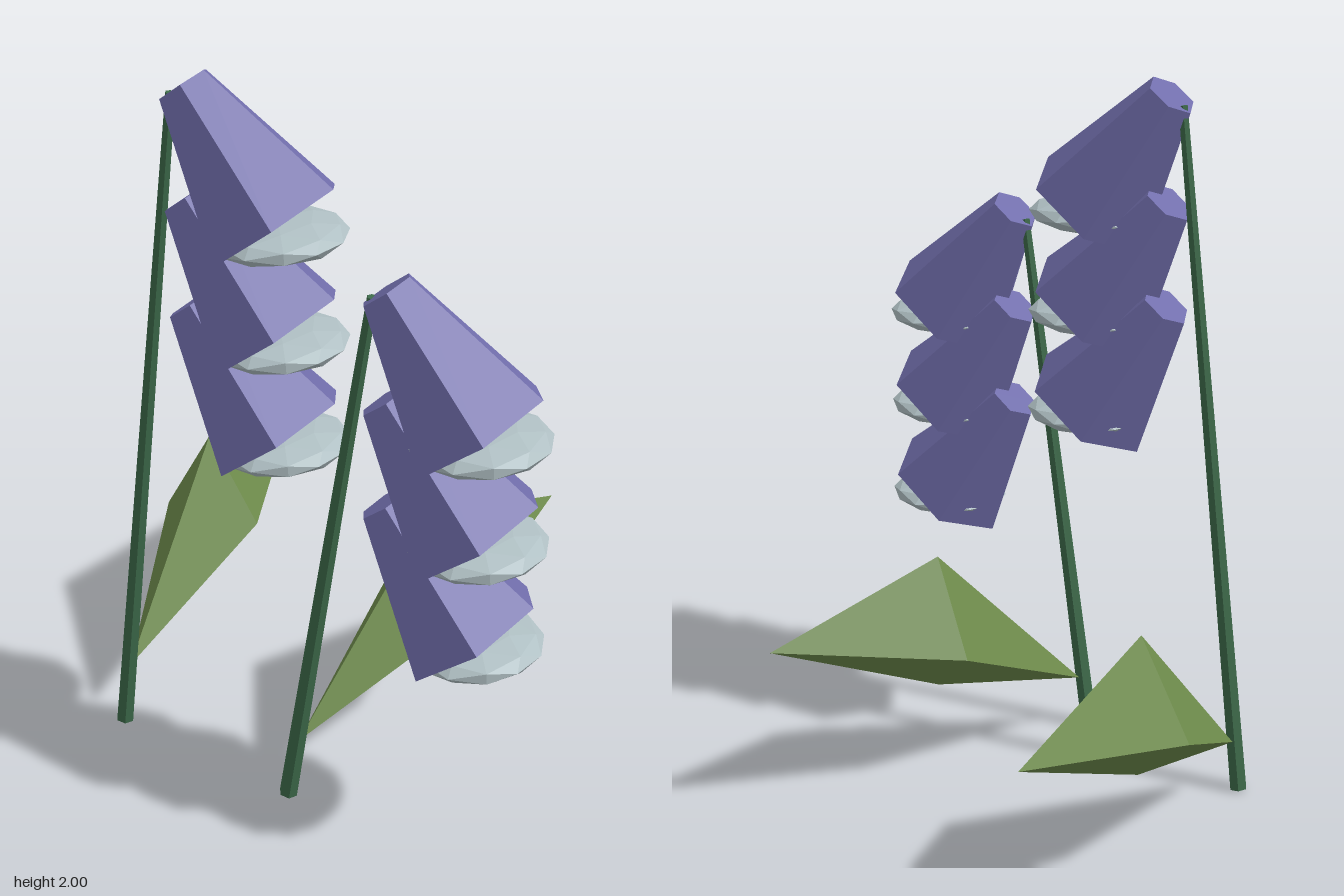
import * as THREE from 'three';

const material = (name, color) => {
  const m = new THREE.MeshStandardMaterial({ color, flatShading: true });
  m.name = name;
  return m;
};

export function createModel() {
  const violet = material('violet petals', 0x716eac);
  const pale = material('pale flower heart', 0xafbfc3);
  const stemGreen = material('dark stem green', 0x3d6a4a);
  const leafGreen = material('leaf green', 0x6d8a4b);

  const model = new THREE.Group();
  model.name = 'bellFlowers';
  const add = (parent, name, geometry, mat) => {
    const mesh = new THREE.Mesh(geometry, mat);
    mesh.name = name;
    parent.add(mesh);
    return mesh;
  };

  // Six-sided bell with one corner pointing down its tilt, and its squashed heart
  const bellGeometry = new THREE.CylinderGeometry(0.073, 0.196, 0.4, 6, 1, false, Math.PI / 2);
  const heartGeometry = new THREE.IcosahedronGeometry(0.175, 1).scale(1, 0.27, 1);

  function addFlower(parent, y) {
    const flower = new THREE.Group();
    flower.name = 'flower';
    flower.position.set(0.405, y, 0);
    const bell = add(flower, 'bell', bellGeometry, violet);
    bell.rotation.z = 0.6435;
    const heart = add(flower, 'flowerHeart', heartGeometry, pale);
    heart.position.set(0.128, -0.184, 0);
    heart.rotation.z = 0.06;
    parent.add(flower);
  }

  // A leaning tapered stem with three bells hanging at its top
  function addStalk(x, z, height) {
    const stalk = new THREE.Group();
    stalk.name = 'stalk';
    stalk.position.set(x, 0, z);
    const from = new THREE.Vector3(0, 0.005, 0);
    const to = new THREE.Vector3(0.25, height - 0.07, 0);
    const along = to.clone().sub(from);
    const stem = add(stalk, 'stem',
      new THREE.CylinderGeometry(0.014, 0.026, along.length(), 6, 1, false, Math.PI / 2), stemGreen);
    stem.position.copy(from).add(to).multiplyScalar(0.5);
    stem.quaternion.setFromUnitVectors(new THREE.Vector3(0, 1, 0), along.normalize());
    for (let i = 0; i < 3; i++) addFlower(stalk, height - 0.205 - i * 0.285);
    model.add(stalk);
  }
  addStalk(-0.57, 0.405, 2.0);
  addStalk(0.01, 0.505, 1.615);

  // Leaf: a stretched diamond whose four-cornered middle joins two tips
  const ring = [[0, 0.665, 0], [0.152, 0.4, 0], [0, 0.27, 0], [-0.152, 0.4, 0]];
  const frontTip = [0, 0.165, 0.505];
  const backTip = [0, 0.5, -0.54];
  const points = [];
  ring.forEach((a, i) => {
    const b = ring[(i + 1) % 4];
    points.push(...frontTip, ...b, ...a, ...backTip, ...a, ...b);
  });
  const leafGeometry = new THREE.BufferGeometry();
  leafGeometry.setAttribute('position', new THREE.Float32BufferAttribute(points, 3));
  leafGeometry.computeVertexNormals();

  for (const [x, z, turn] of [[-0.567, -0.14, 0], [0.2, 0, -0.345]]) {
    const leaf = add(model, 'leaf', leafGeometry, leafGreen);
    leaf.position.set(x, 0, z);
    leaf.rotation.y = turn;
    leaf.material.side = THREE.DoubleSide;
  }
  return model;
}
